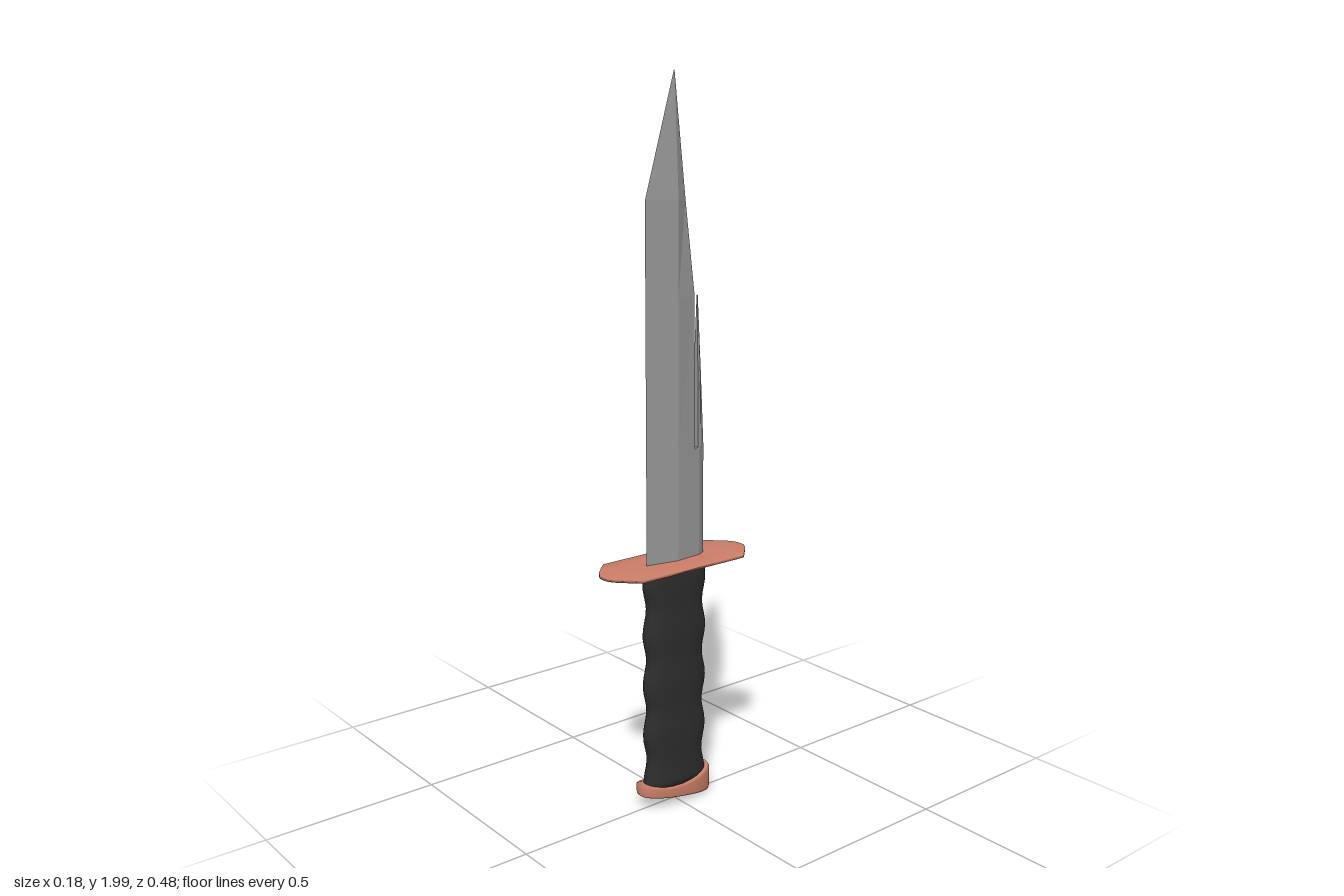
import * as THREE from 'three';

// Skin between rings of [x, y, z] points (counterclockwise from above), closed with centre fans.
function loft(rings, capped = true) {
  const n = rings[0].length;
  const pos = rings.flat(2);
  const idx = [];
  for (let i = 0; i < rings.length - 1; i++) {
    for (let j = 0; j < n; j++) {
      const k = (j + 1) % n;
      const a = i * n + j, b = i * n + k, c = a + n, d = b + n;
      idx.push(a, b, d, a, d, c);
    }
  }
  const cap = (ring, start, up) => {
    const c = pos.length / 3;
    for (let k = 0; k < 3; k++) pos.push(ring.reduce((s, p) => s + p[k], 0) / n);
    for (let j = 0; j < n; j++) {
      const k = (j + 1) % n;
      if (up) idx.push(c, start + j, start + k);
      else idx.push(c, start + k, start + j);
    }
  };
  if (capped) {
    cap(rings[0], 0, false);
    cap(rings[rings.length - 1], (rings.length - 1) * n, true);
  }
  const g = new THREE.BufferGeometry();
  g.setAttribute('position', new THREE.Float32BufferAttribute(pos, 3));
  g.setIndex(idx);
  g.computeVertexNormals();
  return g;
}

// Slightly squared oval; the callback turns (x, z) into a point.
function oval(rx, rz, n, power, place) {
  const bend = v => Math.sign(v) * Math.abs(v) ** power;
  return Array.from({ length: n }, (_, i) => {
    const a = (i / n) * Math.PI * 2;
    return place(rx * bend(Math.cos(a)), -rz * bend(Math.sin(a)));
  });
}

export function createModel() {
  const group = new THREE.Group();
  const material = (name, color) => {
    const m = new THREE.MeshStandardMaterial({ color });
    m.name = name;
    return m;
  };
  const steel = material('steel grey', 0x9a9a9a);
  steel.flatShading = true;
  const copper = material('copper', 0xcc7f68);
  const black = material('grip black', 0x2e2e2e);
  const add = (name, geometry, mat) => {
    const m = new THREE.Mesh(geometry, mat);
    m.name = name;
    group.add(m);
  };

  // Blade: y, cutting edge z, ridge half-thickness, spine z, spine half-thickness
  const bladeRows = [
    [0.705, 0.095, 0.018, -0.062, 0.012],
    [1.02, 0.095, 0.018, -0.062, 0.012],
    [1.43, 0.095, 0.018, -0.061, 0.01],
    [1.68, 0.095, 0.018, -0.035, 0.003],
    [2.0, 0.001, 0.0004, -0.001, 0.0002],
  ];
  add('blade', loft(bladeRows.map(([y, edge, t, spine, s]) => [
    [0, y, edge], [t, y, 0], [s, y, spine], [-s, y, spine], [-t, y, 0],
  ])), steel);

  // Spine hook behind the slot: y, inner z, half-thickness, outer z
  const hookRows = [
    [0.705, -0.062, 0.012, -0.102],
    [1.015, -0.062, 0.012, -0.102],
    [1.02, -0.073, 0.011, -0.102],
    [1.22, -0.074, 0.009, -0.092],
    [1.43, -0.077, 0.001, -0.08],
  ];
  add('spineHook', loft(hookRows.map(([y, inner, t, outer]) => {
    const mid = inner + (outer - inner) * 0.45;
    return [[t, y, inner], [t * 0.9, y, mid], [0, y, outer], [-t * 0.9, y, mid], [-t, y, inner]];
  })), steel);

  // Guard: thin plate with straight sides and rounded ends
  const corner = [[0.088, 0.175], [0.088, -0.175], [0.062, -0.202], [0.036, -0.227], [0.018, -0.238]];
  const outline = [
    ...corner, [0, -0.24],
    ...corner.slice(1).reverse().map(([x, z]) => [-x, z]),
    ...corner.slice(1).map(([x, z]) => [-x, -z]), [0, 0.24],
    ...corner.slice(2).reverse().map(([x, z]) => [x, -z]),
  ];
  const guardRing = (s, y) => outline.map(([x, z]) => [x * s, y, z * (0.25 + s * 0.75)]);
  add('guard', loft([
    guardRing(0.5, 0.706), guardRing(1, 0.707), guardRing(1, 0.715), guardRing(0.5, 0.716),
  ]), copper);

  // Grip with four finger swells
  const gripRings = [];
  for (let i = 0; i <= 32; i++) {
    const y = 0.06 + (0.65 * i) / 32;
    const wave = Math.cos(((y - 0.66) / 0.147) * Math.PI * 2);
    gripRings.push(oval(0.036 + 0.001 * wave, 0.098 + 0.006 * wave, 28, 0.8, (x, z) => [x, y, z]));
  }
  add('grip', loft(gripRings), black);

  // Pommel: slanted base and a saddle-shaped top
  const base = z => 0.028 + z * 0.188;
  const top = z => 0.063 + 1.7 * z * z;
  const pommelRing = (s, t) => oval(0.045 * s, 0.123 * s, 28, 0.8, (x, z) =>
    [x, base(z) + (top(z) - base(z)) * t, z + 0.003]);
  add('pommel', loft([
    pommelRing(0.8, 0), pommelRing(0.97, 0.02), pommelRing(1, 0.15),
    pommelRing(1, 0.85), pommelRing(0.95, 1), pommelRing(0.7, 1),
  ]), copper);

  return group;
}
